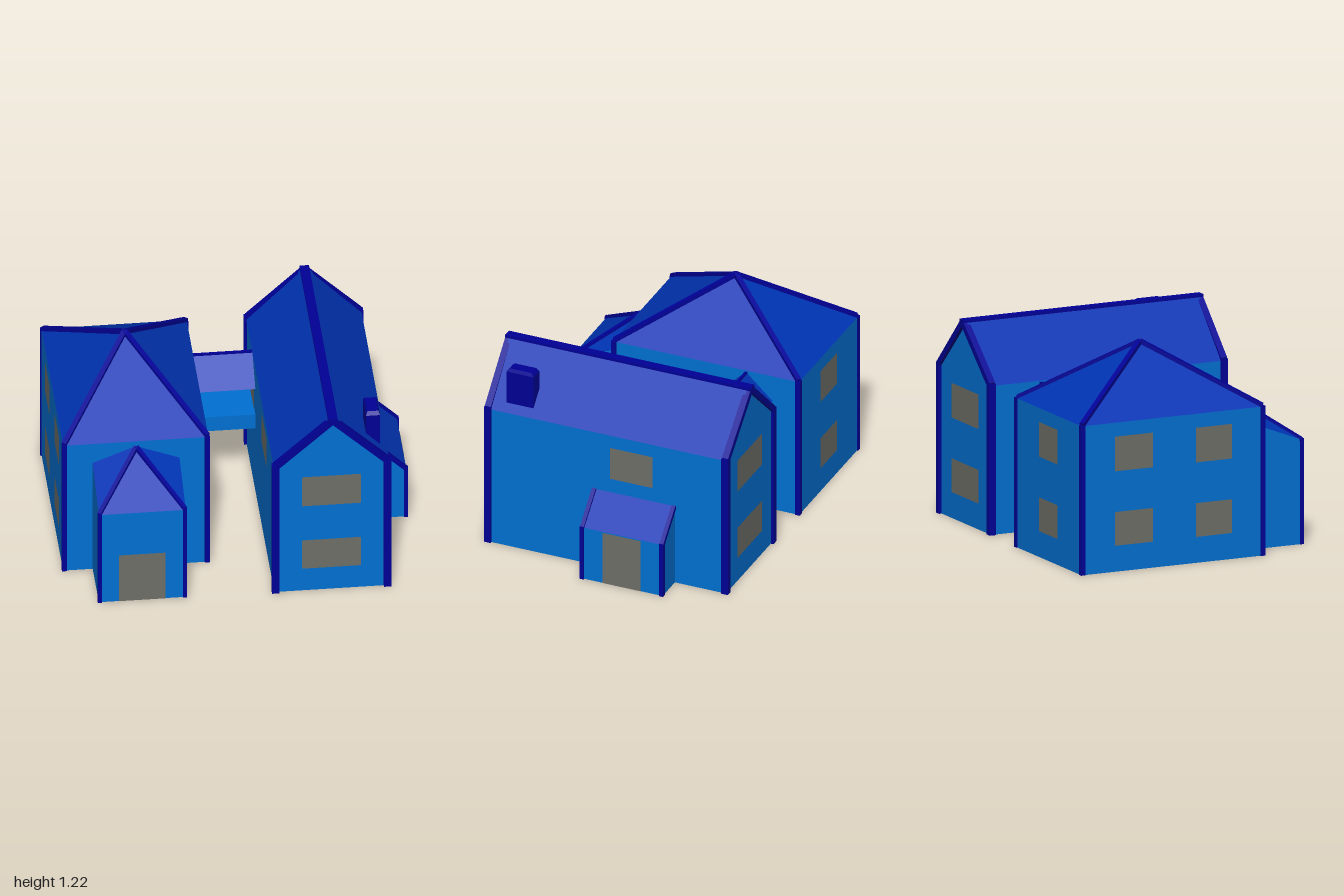
import * as THREE from 'three';

const mat = (name, color, extra = {}) => new THREE.MeshStandardMaterial({ name, color, flatShading: true, ...extra });

export function createModel() {
  const root = new THREE.Group();
  root.name = 'linkedHouses';
  const wallMat = mat('wallBlue', 0x0070d2, { side: THREE.DoubleSide });
  const roofMat = mat('roofBlue', 0x0034b4, { side: THREE.DoubleSide });
  const trimMat = mat('trimNavy', 0x000096);
  const glassMat = mat('windowGrey', 0x6f6f69, { side: THREE.DoubleSide });

  const group = (name) => {
    const g = new THREE.Group();
    g.name = name;
    root.add(g);
    return g;
  };
  const add = (parent, name, geo, material) => {
    const m = new THREE.Mesh(geo, material);
    m.name = name;
    parent.add(m);
    return m;
  };
  // box given by its minimum and maximum corners
  const box = (parent, name, a, b, material) => {
    const m = add(parent, name, new THREE.BoxGeometry(b[0] - a[0], b[1] - a[1], b[2] - a[2]), material);
    m.position.set((a[0] + b[0]) / 2, (a[1] + b[1]) / 2, (a[2] + b[2]) / 2);
    return m;
  };
  // flat convex polygons, corners counter-clockwise from outside
  const panels = (parent, name, polys, material) => {
    const pos = [];
    for (const p of polys)
      for (let i = 1; i < p.length - 1; i++) pos.push(...p[0], ...p[i], ...p[i + 1]);
    const g = new THREE.BufferGeometry();
    g.setAttribute('position', new THREE.Float32BufferAttribute(pos, 3));
    g.computeVertexNormals();
    return add(parent, name, g, material);
  };
  // square trim bar between two points
  const bar = (parent, name, a, b, w, h = w) => {
    const p = new THREE.Vector3(...a), q = new THREE.Vector3(...b);
    const m = add(parent, name, new THREE.BoxGeometry(w, h, p.distanceTo(q)), trimMat);
    m.position.copy(p).add(q).multiplyScalar(0.5);
    m.lookAt(q);
    return m;
  };
  // flat window faces just outside walls; s is the side the wall faces
  const paneZ = (parent, name, x0, x1, y0, y1, z, s) => {
    const p = add(parent, name, new THREE.PlaneGeometry(x1 - x0, y1 - y0), glassMat);
    p.position.set((x0 + x1) / 2, (y0 + y1) / 2, z + s * 0.002);
    if (s < 0) p.rotation.y = Math.PI;
  };
  const paneX = (parent, name, z0, z1, y0, y1, x, s) => {
    const p = add(parent, name, new THREE.PlaneGeometry(z1 - z0, y1 - y0), glassMat);
    p.position.set(x + s * 0.002, (y0 + y1) / 2, (z0 + z1) / 2);
    p.rotation.y = s * Math.PI / 2;
  };
  const floors = [[0.15, 0.345], [0.58, 0.78]];

  // ---- hip-roofed house, open underneath
  const hip = group('hipHouse');
  const [hx0, hx1, hz0, hz1, eave] = [-0.99, -0.167, -0.748, 0.4, 0.86];
  const apex = [-0.58, 1.212, -0.175];
  const corners = [[hx0, hz1], [hx1, hz1], [hx1, hz0], [hx0, hz0]];
  const sides = corners.map((c, i) => [c, corners[(i + 1) % 4]]);
  panels(hip, 'hipHouseWalls', sides.map(([c, d]) =>
    [[c[0], 0, c[1]], [d[0], 0, d[1]], [d[0], eave, d[1]], [c[0], eave, c[1]]]), wallMat);
  panels(hip, 'hipRoof', sides.map(([c, d]) =>
    [[c[0], eave, c[1]], [d[0], eave, d[1]], apex]), roofMat);
  for (const [cx, cz] of corners) {
    const x = cx - 0.007 * Math.sign(cx - apex[0]), z = cz - 0.007 * Math.sign(cz - apex[2]);
    bar(hip, 'hipHousePost', [x, 0, z], [x, eave + 0.005, z], 0.029);
    bar(hip, 'hipRidge', [x, eave + 0.004, z], apex, 0.029);
  }
  for (const [y0, y1] of floors) {
    paneZ(hip, 'backWindow', -0.69, -0.46, y0, y1, hz0, -1);
    paneX(hip, 'sideWindow', -0.54, -0.30, y0, y1, hx0, -1);
    paneX(hip, 'sideWindow', -0.03, 0.20, y0, y1, hx0, -1);
  }

  // ---- front entrance annex, side walls rising to the rear
  const annex = group('entranceAnnex');
  const [ax0, ax1, az, ay, by] = [-0.823, -0.331, 0.728, 0.6, 0.73];
  const peak = [-0.578, 0.828, hz1];
  panels(annex, 'annexWalls', [
    [[ax0, 0, az], [ax1, 0, az], [ax1, ay, az], [ax0, ay, az]],
    [[ax1, 0, az], [ax1, 0, hz1], [ax1, by, hz1], [ax1, ay, az]],
    [[ax0, 0, hz1], [ax0, 0, az], [ax0, ay, az], [ax0, by, hz1]],
  ], wallMat);
  panels(annex, 'annexRoof', [
    [[ax0, ay, az], [ax1, ay, az], peak],
    [[ax1, ay, az], [ax1, by, hz1], peak],
    [[ax0, by, hz1], [ax0, ay, az], peak],
  ], roofMat);
  for (const x of [ax0 + 0.005, ax1 - 0.005]) {
    const z = az - 0.005;
    bar(annex, 'annexPost', [x, 0, z], [x, ay + 0.01, z], 0.024);
    bar(annex, 'annexRidge', [x, ay + 0.003, z], [peak[0], peak[1], peak[2] + 0.01], 0.024);
  }
  paneZ(annex, 'annexDoor', -0.71, -0.445, 0, 0.315, az, 1);

  // ---- long gabled house, open underneath
  const gable = group('gableHouse');
  const [gx0, gx1, gz, mid, top] = [0.17, 0.818, 0.735, 0.5, 1.165];
  const outline = (z) => [[gx0, 0, z], [gx1, 0, z], [gx1, eave, z], [mid, top, z], [gx0, eave, z]];
  panels(gable, 'gableHouseWalls', [
    outline(gz),
    outline(-gz).reverse(),
    [[gx1, 0, gz], [gx1, 0, -gz], [gx1, eave, -gz], [gx1, eave, gz]],
    [[gx0, 0, -gz], [gx0, 0, gz], [gx0, eave, gz], [gx0, eave, -gz]],
  ], wallMat);
  panels(gable, 'gableRoof', [
    [[gx0 - 0.003, eave, -gz], [gx0 - 0.003, eave, gz], [mid - 0.026, top, gz], [mid - 0.026, top, -gz]],
    [[gx1 + 0.003, eave, gz], [gx1 + 0.003, eave, -gz], [mid + 0.026, top, -gz], [mid + 0.026, top, gz]],
  ], roofMat);
  for (const s of [1, -1]) {
    for (const x of [gx0 + 0.006, gx1 - 0.008]) {
      bar(gable, 'gablePost', [x, 0, s * 0.731], [x, eave + 0.012, s * 0.731], 0.041);
      bar(gable, 'gableTrim', [x, eave + 0.004, s * 0.731], [mid, top - 0.001, s * 0.737], 0.038, 0.036);
    }
    for (const [y0, y1] of floors) paneZ(gable, 'gableWindow', 0.325, 0.66, y0, y1, s * gz, s);
  }
  box(gable, 'gableRidge', [mid - 0.027, 1.155, -0.756], [mid + 0.027, 1.18, 0.756], trimMat);
  paneX(gable, 'leftWindow', 0.08, 0.34, 0.58, 0.78, gx0, -1);
  paneX(gable, 'sideWindow', -0.283, -0.02, 0.58, 0.78, gx1, 1);

  // chimney with a chamfered cap
  box(gable, 'chimney', [0.70, 0.9, 0.468], [0.78, 1.103, 0.634], trimMat);
  const cap = new THREE.CylinderGeometry(0.8 * Math.SQRT1_2, Math.SQRT1_2, 0.02, 4)
    .rotateY(Math.PI / 4).scale(0.08, 1, 0.166);
  add(gable, 'chimneyCap', cap, trimMat).position.set(0.74, 1.113, 0.551);

  // ---- side porch with a lean-to roof
  const porch = group('sidePorch');
  const [px, pz0, pz1, pl, ph] = [0.988, -0.42, 0.08, 0.33, 0.493];
  panels(porch, 'porchWalls', [
    [[px, 0, pz1], [px, 0, pz0], [px, pl, pz0], [px, pl, pz1]],
    [[gx1, 0, pz1], [px, 0, pz1], [px, pl, pz1], [gx1, ph, pz1]],
    [[px, 0, pz0], [gx1, 0, pz0], [gx1, ph, pz0], [px, pl, pz0]],
  ], wallMat);
  panels(porch, 'porchRoof', [[[px, pl, pz1], [px, pl, pz0], [gx1, ph, pz0], [gx1, ph, pz1]]], roofMat);
  for (const z of [pz0 + 0.005, pz1 - 0.005]) {
    bar(porch, 'porchPost', [px - 0.002, 0, z], [px - 0.002, pl + 0.008, z], 0.024);
    bar(porch, 'porchTrim', [px - 0.002, pl, z], [gx1, ph, z], 0.024);
  }
  paneX(porch, 'porchDoor', -0.285, -0.05, 0, 0.325, px, 1);

  // ---- covered bridge joining the houses
  const bridge = group('bridge');
  const [bz0, bz1, bm] = [-0.585, -0.26, -0.422];
  box(bridge, 'bridgeDeck', [hx1, 0.43, bz0], [gx0, 0.525, bz1], wallMat);
  panels(bridge, 'bridgeRoof', [
    [[hx1, 0.7, bz1], [gx0, 0.7, bz1], [gx0, 0.85, bm], [hx1, 0.85, bm]],
    [[gx0, 0.7, bz0], [hx1, 0.7, bz0], [hx1, 0.85, bm], [gx0, 0.85, bm]],
  ], roofMat);
  bar(bridge, 'bridgeRidge', [hx1, 0.845, bm], [gx0, 0.845, bm], 0.016);
  paneX(bridge, 'bridgeDoor', -0.53, -0.315, 0.525, 0.74, hx1, 1);
  paneX(bridge, 'bridgeDoor', -0.53, -0.315, 0.525, 0.74, gx0, -1);

  return root;
}
